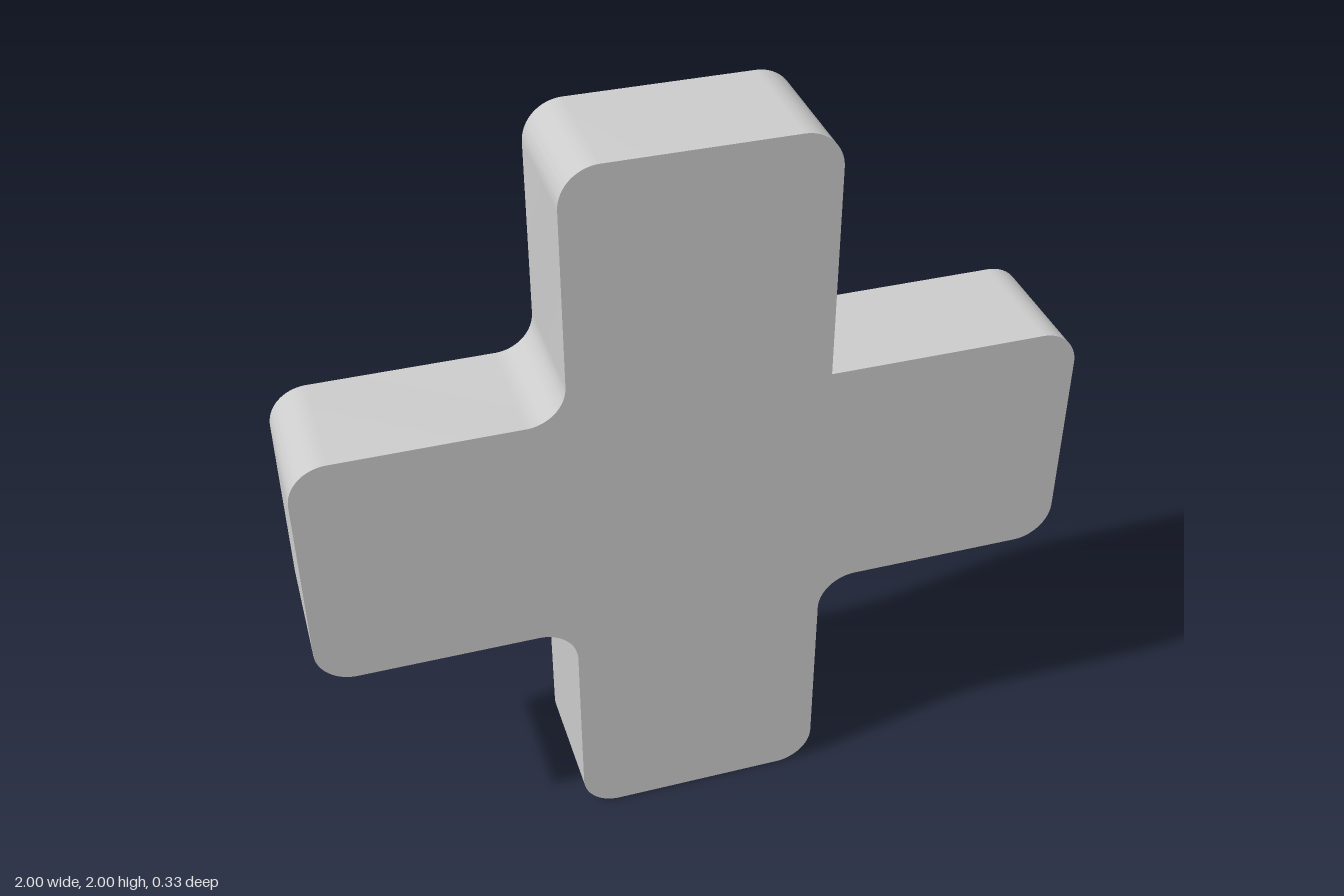
import * as THREE from 'three';
import { toCreasedNormals } from 'three/addons/utils/BufferGeometryUtils.js';

const ARM = 1 / 3;     // half width of each arm
const DEPTH = 1 / 3;   // thickness of the plate
const RADIUS = 0.1;    // rounding of the corners

// Closed outline from [x, y, radius] corners, each rounded by a tangent arc (0 = sharp)
function roundedOutline(corners) {
  const shape = new THREE.Shape();
  const n = corners.length;
  const at = (i) => new THREE.Vector2(...corners[(i + n) % n].slice(0, 2));
  for (let i = 0; i < n; i++) {
    const p = at(i), r = corners[i][2];
    const into = p.clone().sub(at(i - 1)).normalize();
    const out = at(i + 1).sub(p).normalize();
    const start = p.clone().addScaledVector(into, -r);
    if (i === 0) shape.moveTo(start.x, start.y);
    else shape.lineTo(start.x, start.y);
    if (r > 0) {
      const c = start.clone().addScaledVector(out, r);
      const clockwise = into.cross(out) < 0;
      shape.absarc(c.x, c.y, r, Math.atan2(-out.y, -out.x), Math.atan2(into.y, into.x), clockwise);
    }
  }
  shape.closePath();
  return shape;
}

export function createModel() {
  const group = new THREE.Group();
  group.name = 'crossPlate';

  // Each quarter turn adds the two tips of an arm and the inner corner after it;
  // the inner corner at upper +x stays sharp
  const corners = [];
  for (let k = 0; k < 4; k++) {
    const c = Math.round(Math.cos(k * Math.PI / 2)), s = Math.round(Math.sin(k * Math.PI / 2));
    const arm = [[1, -ARM, RADIUS], [1, ARM, RADIUS], [ARM, ARM, k === 0 ? 0 : RADIUS]];
    for (const [x, y, r] of arm) corners.push([x * c - y * s, x * s + y * c, r]);
  }

  // Cross-shaped plate, smooth around the rounded corners and crisp at its rims
  const geometry = new THREE.ExtrudeGeometry(roundedOutline(corners), {
    depth: DEPTH, bevelEnabled: false, curveSegments: 16,
  });
  geometry.translate(0, 1, -DEPTH / 2);
  const cross = new THREE.Mesh(
    toCreasedNormals(geometry, Math.PI / 6),
    new THREE.MeshStandardMaterial({ color: 0xcccccc }),
  );
  cross.name = 'cross';
  group.add(cross);
  return group;
}
